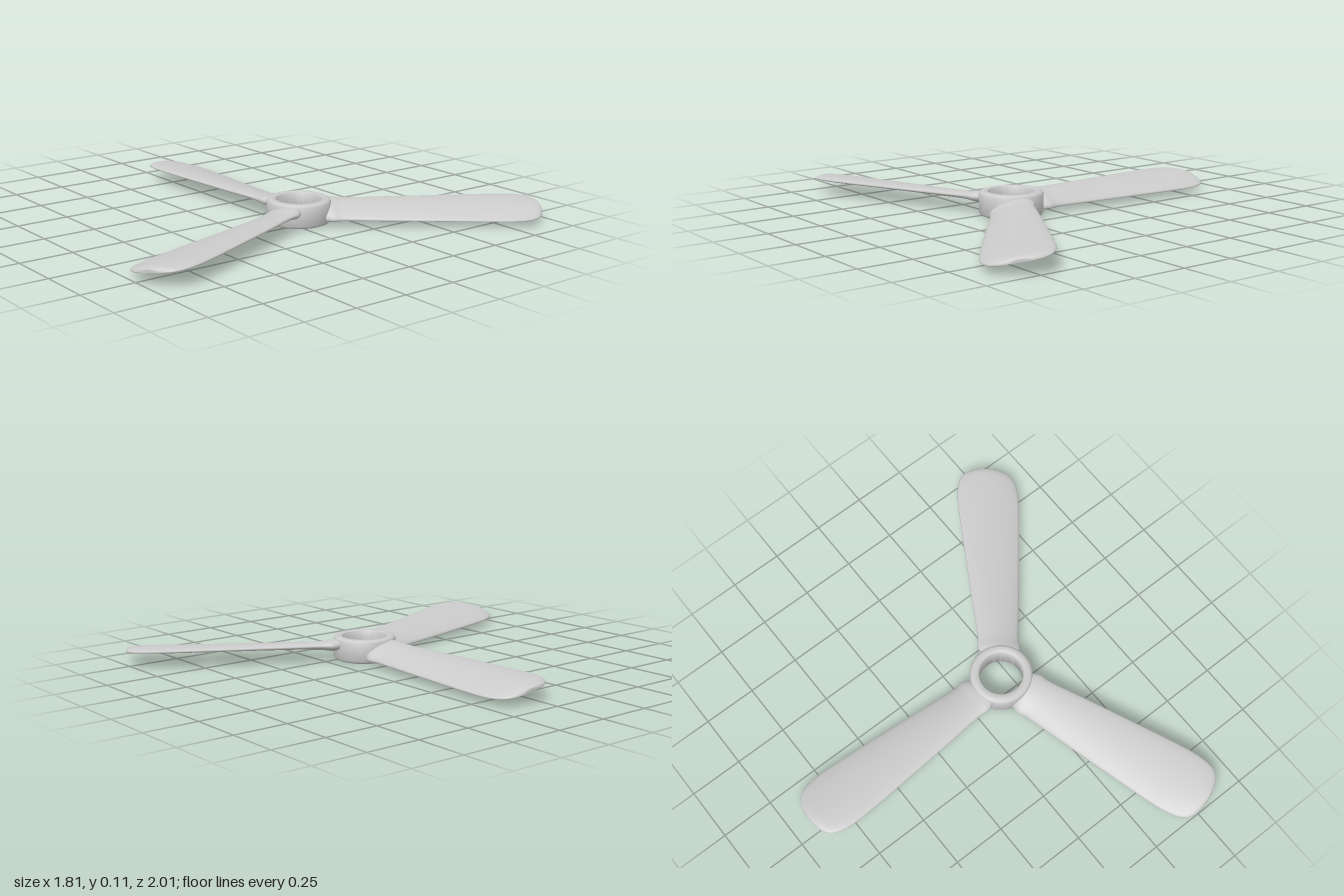
import * as THREE from 'three';
import { toCreasedNormals } from 'three/addons/utils/BufferGeometryUtils.js';

const material = new THREE.MeshStandardMaterial({ color: 0xcccccc });

// Blade stations: radius from the hub axis, half width, half thickness
const STATIONS = [
  [0.115, 0.085, 0.03], [0.15, 0.1, 0.029], [0.2, 0.097, 0.022], [0.4, 0.113, 0.018],
  [0.65, 0.132, 0.017], [0.85, 0.146, 0.016], [0.96, 0.149, 0.016], [1.03, 0.139, 0.015],
  [1.07, 0.119, 0.014], [1.093, 0.088, 0.011], [1.104, 0.05, 0.006], [1.106, 0.02, 0.002],
];

// Pitched, cambered blade along +x, lofted through rounded sections
function bladeGeometry(rows = 66, sides = 32) {
  const curve = new THREE.CatmullRomCurve3(STATIONS.map((s) => new THREE.Vector3(...s)));
  const pos = [], index = [];
  const p = new THREE.Vector3();
  for (let i = 0; i <= rows; i++) {
    curve.getPoint(i / rows, p);
    const rise = p.x < 0.95 ? 0.024 : 0.024 * p.y / 0.149;
    for (let j = 0; j < sides; j++) {
      const a = (j / sides) * Math.PI * 2;
      const c = Math.cos(a), s = Math.sin(a);
      const thick = Math.sign(s) * Math.pow(Math.abs(s), 0.85) * p.z;
      const camber = 0.01 * (1 - c * c);
      pos.push(p.x, 0.054 - rise * c + camber + thick, p.y * c);
    }
  }
  for (let i = 0; i < rows; i++) {
    for (let j = 0; j < sides; j++) {
      const k = (j + 1) % sides;
      const a = i * sides + j, b = i * sides + k;
      index.push(a, a + sides, b, b, a + sides, b + sides);
    }
  }
  // End caps
  const last = rows * sides;
  for (let j = 1; j < sides - 1; j++) {
    index.push(0, j, j + 1);
    index.push(last, last + j + 1, last + j);
  }
  const g = new THREE.BufferGeometry();
  g.setAttribute('position', new THREE.Float32BufferAttribute(pos, 3));
  g.setIndex(index);
  g.computeVertexNormals();
  return g;
}

// Open ring with softened rims
function hubGeometry() {
  const profile = [
    [0.103, 0.004], [0.107, 0], [0.13, 0], [0.14, 0.004], [0.146, 0.014],
    [0.146, 0.098], [0.14, 0.107], [0.13, 0.111], [0.107, 0.111], [0.103, 0.107], [0.103, 0.004],
  ].map(([x, y]) => new THREE.Vector2(x, y));
  return toCreasedNormals(new THREE.LatheGeometry(profile, 64), 0.9);
}

export function createModel() {
  const propeller = new THREE.Group();
  propeller.name = 'propeller';
  propeller.position.set(0.197, 0, -0.06);

  const hub = new THREE.Mesh(hubGeometry(), material);
  hub.name = 'hub';
  propeller.add(hub);

  const geometry = bladeGeometry();
  const headings = { bladeRight: 180, bladeBack: 55.2, bladeFront: -70.5 };
  for (const [name, degrees] of Object.entries(headings)) {
    const blade = new THREE.Mesh(geometry, material);
    blade.name = name;
    blade.rotation.y = THREE.MathUtils.degToRad(degrees);
    propeller.add(blade);
  }

  const model = new THREE.Group();
  model.name = 'threeBladePropeller';
  model.add(propeller);
  return model;
}
